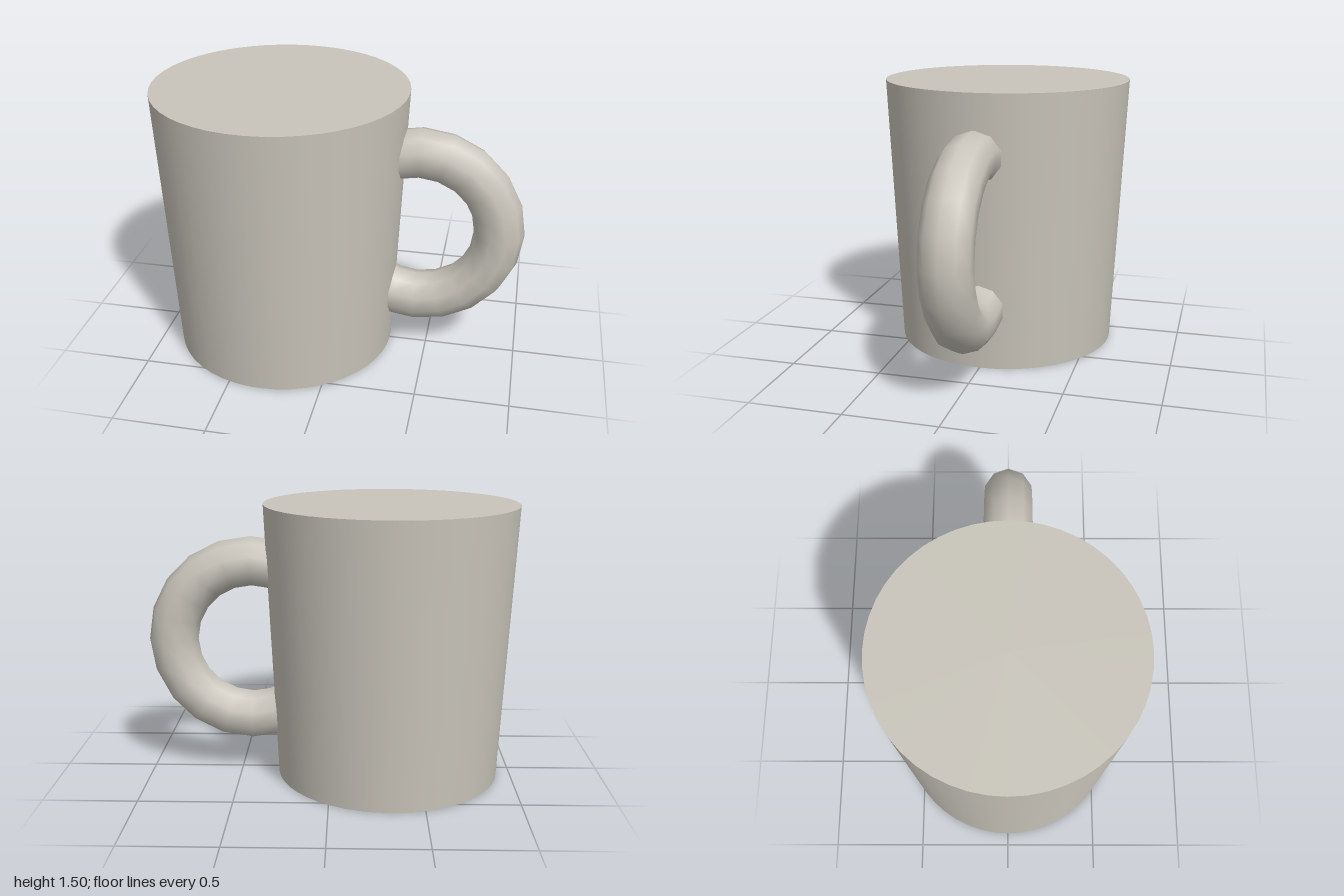
import * as THREE from 'three';

export function createModel() {
  const group = new THREE.Group();
  const clay = new THREE.MeshStandardMaterial({ color: 0xc8c4ba });
  clay.name = 'warm grey';

  // Tapered, closed cup body
  const height = 1.5;
  const body = new THREE.Mesh(new THREE.CylinderGeometry(0.68, 0.612, height, 48), clay);
  body.name = 'cupBody';
  body.position.set(-0.32, height / 2, 0);
  group.add(body);

  // Ring handle, with both ends sunk into the body wall
  const step = Math.PI / 10;
  const segments = 14;
  const handle = new THREE.Mesh(
    new THREE.TorusGeometry(0.435, 0.135, 10, segments, segments * step), clay);
  handle.name = 'handle';
  handle.rotation.z = -segments * step / 2;
  handle.position.set(0.43, height / 2, 0);
  group.add(handle);

  return group;
}
